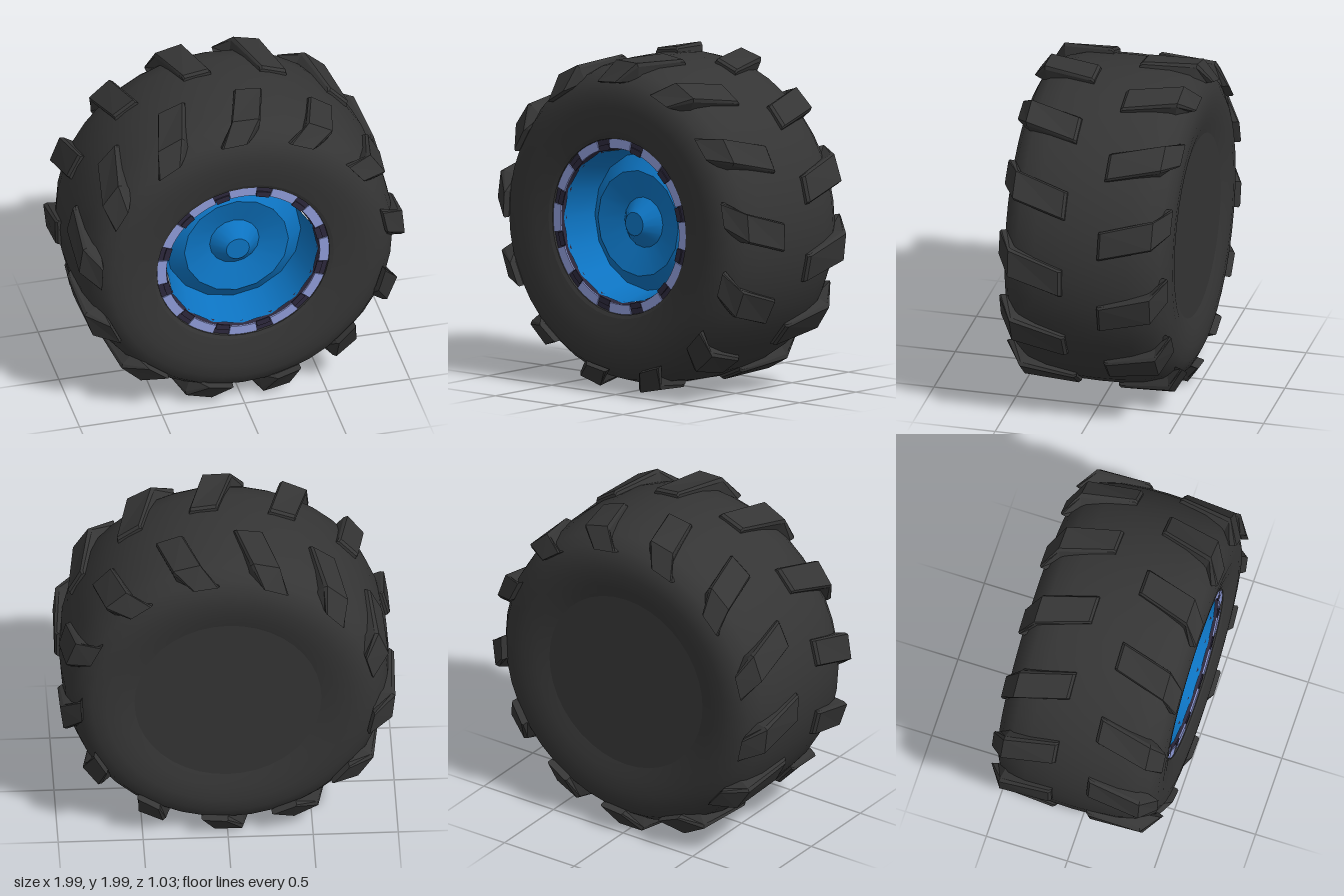
import * as THREE from 'three';

const DEG = Math.PI / 180;
const rubber = new THREE.MeshStandardMaterial({ color: 0x353535 });
rubber.name = 'rubber';
const blue = new THREE.MeshStandardMaterial({ color: 0x0d74c2 });
blue.name = 'wheel blue';
const lavender = new THREE.MeshStandardMaterial({ color: 0x8f9bd8 });
lavender.name = 'rim lavender';
const darkRim = new THREE.MeshStandardMaterial({ color: 0x2c283c });
darkRim.name = 'rim dark';

function part(name, geometry, material) {
  const m = new THREE.Mesh(geometry, material);
  m.name = name;
  return m;
}

// Revolve [radius, z] points around the z axis
function revolve(points, sides) {
  const g = new THREE.LatheGeometry(points.map(([r, z]) => new THREE.Vector2(r, z)), sides);
  return g.rotateX(Math.PI / 2);
}

// Revolve each profile segment on its own, so the edges between bands stay sharp
function bands(name, points, sides, material) {
  const group = new THREE.Group();
  group.name = name;
  for (let i = 0; i < points.length - 1; i++) {
    group.add(part(name + 'Band', revolve([points[i], points[i + 1]], sides), material));
  }
  return group;
}

// Skin closed cross-sections (ordered along +z) with flat faces
function loft(sections) {
  const pos = [];
  const tri = (a, b, c) => pos.push(...a, ...b, ...c);
  const n = sections[0].length;
  for (let s = 0; s < sections.length - 1; s++) {
    const p = sections[s], q = sections[s + 1];
    for (let i = 0; i < n; i++) {
      const j = (i + 1) % n;
      tri(p[i], p[j], q[j]);
      tri(p[i], q[j], q[i]);
    }
  }
  const first = sections[0], last = sections[sections.length - 1];
  for (let i = 1; i < n - 1; i++) {
    tri(first[0], first[i + 1], first[i]);
    tri(last[0], last[i], last[i + 1]);
  }
  const g = new THREE.BufferGeometry();
  g.setAttribute('position', new THREE.Float32BufferAttribute(pos, 3));
  g.computeVertexNormals();
  return g;
}

// Slanted tread lug that bends over the shoulder; side is +1 front, -1 back
function lugGeometry(side) {
  const stations = [
    { zTop: 0.106, rTop: 0.982, zBase: 0.104, rBase: 0.93, turn: 0, half: 5 },
    { zTop: 0.122, rTop: 0.995, zBase: 0.12, rBase: 0.93, turn: 0.2, half: 5 },
    { zTop: 0.43, rTop: 0.987, zBase: 0.41, rBase: 0.88, turn: 5.5, half: 5.3 },
    { zTop: 0.514, rTop: 0.868, zBase: 0.475, rBase: 0.858, turn: 11, half: 5.2 },
  ];
  if (side < 0) stations.reverse();
  return loft(stations.map(({ zTop, rTop, zBase, rBase, turn, half }) => {
    const at = (t, w) => {
      const r = rBase + (rTop - rBase) * t;
      const a = (turn + w * half) * DEG;
      return [r * Math.cos(a), r * Math.sin(a), side * (zBase + (zTop - zBase) * t)];
    };
    return [at(0, -1), at(0.8, -1), at(1, -0.88), at(1, 0.88), at(0.8, 1), at(0, 1)];
  }));
}

// Thin plate following an arc of the rim
function rimPlate(inner, outer, halfAngle, depth) {
  const s = new THREE.Shape();
  s.absarc(0, 0, outer, -halfAngle, halfAngle, false);
  s.absarc(0, 0, inner, halfAngle, -halfAngle, true);
  return new THREE.ExtrudeGeometry(s, { depth, bevelEnabled: false, curveSegments: 4 });
}

export function createModel() {
  const model = new THREE.Group();
  model.name = 'wheel';
  const wheel = new THREE.Group();
  wheel.name = 'wheelAssembly';
  wheel.position.y = 1;
  model.add(wheel);

  // Rounded tyre body
  const half = [[0.965, 0.12], [0.95, 0.28], [0.92, 0.39], [0.87, 0.46], [0.8, 0.495], [0.72, 0.503]];
  const back = half.map(([r, z]) => [r, -z]).reverse();
  const profile = [[0.55, -0.47], [0.63, -0.492], ...back, [0.968, 0], ...half, [0.63, 0.495], [0.545, 0.478]];
  wheel.add(part('tyre', revolve(profile, 40), rubber));
  wheel.add(part('backDisc', revolve([[0, -0.47], [0.55, -0.47]], 40), rubber));
  wheel.add(bands('tyreLip', [[0.545, 0.478], [0.523, 0.468], [0.518, 0.43]], 40, rubber));

  // Tread lugs, the back row staggered by half a step
  const count = 13;
  for (const side of [1, -1]) {
    const geo = lugGeometry(side);
    for (let i = 0; i < count; i++) {
      const lug = part(side > 0 ? 'frontLug' : 'backLug', geo, rubber);
      lug.rotation.z = ((i + (side > 0 ? 0 : 0.54)) / count) * Math.PI * 2;
      wheel.add(lug);
    }
  }

  // Rim ring with alternating plates
  wheel.add(bands('rimRing', [[0.53, 0.455], [0.47, 0.455], [0.452, 0.42]], 40, darkRim));
  const light = rimPlate(0.464, 0.52, 9.5 * DEG, 0.008);
  const dark = rimPlate(0.455, 0.49, 5 * DEG, 0.008);
  const plates = 12;
  for (let i = 0; i < plates; i++) {
    const a = part('rimPlate', light, lavender);
    a.position.z = 0.455;
    a.rotation.z = (i / plates) * Math.PI * 2;
    const b = part('rimNotch', dark, darkRim);
    b.position.z = 0.455;
    b.rotation.z = ((i + 0.5) / plates) * Math.PI * 2;
    wheel.add(a, b);
  }

  // Dished wheel centre and hub
  const dish = [[0.458, 0.44], [0.41, 0.22], [0.315, 0.3], [0.15, 0.25]];
  wheel.add(bands('wheelDish', dish, 16, blue));
  wheel.add(bands('hub', [[0.15, 0.25], [0.07, 0.335], [0, 0.335]], 16, blue));

  return model;
}
